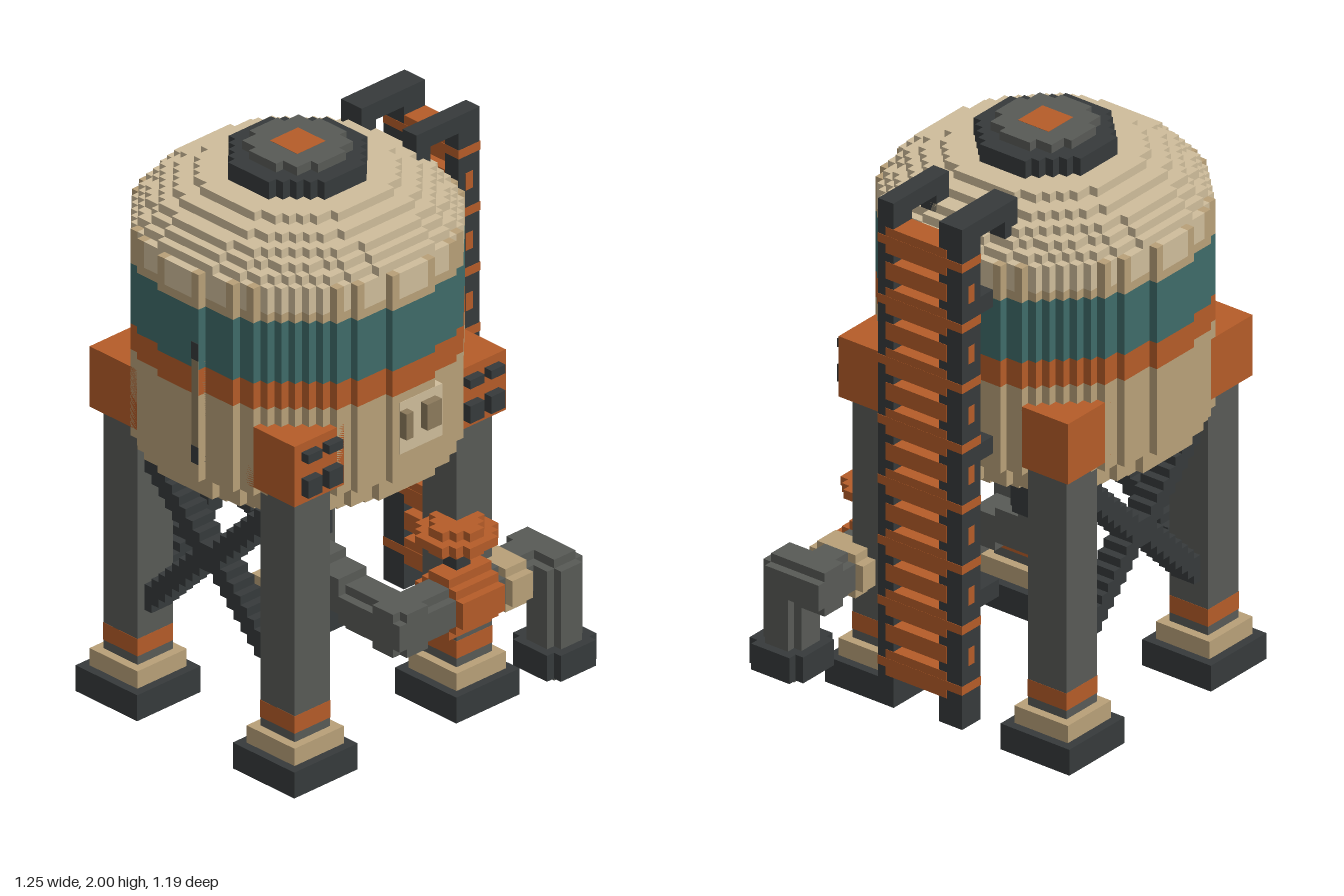
import * as THREE from 'three';

// All sizes are in voxels; the finished group is scaled so 32 voxels = 1 unit.
const VOXEL = 1 / 32;
const mat = (color) => new THREE.MeshStandardMaterial({ color, flatShading: true });
const M = {
  tan: mat(0xb8a078), light: mat(0xcfbd9b), brown: mat(0x8c7a5c), teal: mat(0x3f6b69),
  orange: mat(0xb55c28), dark: mat(0x363a3b), grey: mat(0x585a56),
};
const CX = -3, CZ = -2; // tank axis

// Box given by its min and max on each axis
function box(parent, name, m, x0, x1, y0, y1, z0, z1) {
  const mesh = new THREE.Mesh(new THREE.BoxGeometry(x1 - x0, y1 - y0, z1 - z0), m);
  mesh.position.set((x0 + x1) / 2, (y0 + y1) / 2, (z0 + z1) / 2);
  mesh.name = name;
  parent.add(mesh);
  return mesh;
}

// Half width of one row of a voxel circle, d cells across and of radius r
function halfWidth(d, r, c) {
  let w = 0;
  for (let k = (d - 1) / 2; k >= 0; k--) if (k * k + c * c <= r * r) { w = k + 0.5; break; }
  return w;
}

// Stair-stepped disc, extruded along an axis from a to b; (p, q) is its centre:
// axis y -> (x, z), axis x -> (y, z), axis z -> (x, y)
function disc(parent, name, m, d, r, axis, a, b, p, q) {
  const side = [];
  for (let i = 0; i < d; i++) {
    const w = halfWidth(d, r, i - (d - 1) / 2);
    if (!w) continue;
    const last = side[side.length - 1];
    if (last && last.x === w) last.y = i + 1 - d / 2;
    else side.push(new THREE.Vector2(w, i - d / 2), new THREE.Vector2(w, i + 1 - d / 2));
  }
  const mirrored = side.map((v) => new THREE.Vector2(-v.x, v.y)).reverse();
  const geo = new THREE.ExtrudeGeometry(new THREE.Shape([...side, ...mirrored]), { depth: b - a, bevelEnabled: false });
  const mesh = new THREE.Mesh(geo, m);
  if (axis === 'y') { geo.rotateX(-Math.PI / 2); mesh.position.set(p, a, q); }
  else if (axis === 'x') { geo.rotateY(Math.PI / 2); mesh.position.set(a, p, q); }
  else mesh.position.set(p, q, a);
  mesh.name = name;
  parent.add(mesh);
  return mesh;
}

function part(root, name) {
  const g = new THREE.Group();
  g.name = name;
  root.add(g);
  return g;
}

function buildTank(root) {
  const g = part(root, 'tank');
  // name, material, diameter, radius, bottom, top
  const layers = [
    ['outletCollar', M.brown, 6, 3, 25, 26], ['outletCollar', M.brown, 10, 5, 26, 27],
    ['bottom', M.tan, 20, 10.2, 27, 28], ['bottom', M.tan, 24, 12.3, 28, 29],
    ['bottom', M.tan, 28, 14.2, 29, 30], ['bottom', M.tan, 32, 16, 30, 32],
    ['wall', M.tan, 34, 16.85, 32, 42], ['orangeBand', M.orange, 34, 16.85, 42, 45],
    ['tealBand', M.teal, 34, 16.85, 45, 52], ['upperWall', M.tan, 34, 16.85, 52, 53],
    ['dome', M.light, 34, 16.6, 53, 56], ['dome', M.light, 32, 16.1, 56, 57],
    ['dome', M.light, 30, 15.1, 57, 58], ['dome', M.light, 28, 14.1, 58, 59],
    ['dome', M.light, 24, 12.36, 59, 60], ['dome', M.light, 20, 10.2, 60, 61],
    ['hatchRing', M.dark, 14, 7, 61, 63], ['hatchLid', M.grey, 10, 5, 63, 64],
  ];
  for (const [name, m, d, r, y0, y1] of layers) disc(g, name, m, d, r, 'y', y0, y1, CX, CZ);
  box(g, 'hatchMark', M.orange, -5, -1, 63.5, 64.03, -4, 0);

  // darker wall slivers standing around the dome's lowest course
  for (let i = 0; i < 34; i++) {
    const c = i - 16.5, outer = halfWidth(34, 16.85, c), inner = halfWidth(34, 16.6, c);
    if (outer === inner) continue;
    for (const s of [-1, 1]) {
      const a = CX + s * inner, b = CX + s * outer;
      box(g, 'wallSliver', M.tan, Math.min(a, b), Math.max(a, b), 53, 56, CZ + c - 0.5, CZ + c + 0.5);
    }
  }

  // front control panel with two windows, and a level gauge on the side
  box(g, 'frontPanel', M.light, -5, 1, 35, 41, 12, 15.04);
  box(g, 'panelWindow', M.brown, -5, -4, 37, 40, 15, 16);
  box(g, 'panelWindow', M.brown, -2, 0, 37, 40, 15, 16);
  box(g, 'levelGauge', M.brown, -20.04, -19, 36, 46, 0, 1);
  for (const y of [34, 46]) box(g, 'gaugeEnd', M.dark, -20.06, -19, y, y + 2, 0, 1);
}

function buildLegs(root) {
  for (const sx of [-1, 1]) for (const sz of [-1, 1]) {
    const g = part(root, (sz > 0 ? 'front' : 'back') + (sx > 0 ? 'Left' : 'Right') + 'Leg');
    const x = CX + sx * 11.5, z = CZ + sz * 11.5;
    const block = (name, m, w, y0, y1) => box(g, name, m, x - w / 2, x + w / 2, y0, y1, z - w / 2, z + w / 2);
    block('foot', M.dark, 9, 0, 3);
    block('basePlate', M.tan, 7, 3, 5);
    block('post', M.grey, 5, 5, 33);
    block('postBand', M.orange, 5.06, 6, 8);
    block('bracket', M.orange, 7, 33, 40);
    // bolts on the front brackets
    if (sz > 0) for (const dx of [-2.5, 0.5]) {
      box(g, 'bolt', M.dark, x + dx, x + dx + 2, 34, 36, z + 3.5, z + 4.5);
      box(g, 'bolt', M.dark, x + dx, x + dx + 2, 38, 39, z + 3.5, z + 4.5);
    }
  }
}

// Stepped cross braces between the legs, on the back and on the -x side
function buildBraces(root) {
  const back = part(root, 'backBrace'), side = part(root, 'sideBrace');
  for (let k = 0; k < 18; k++) {
    const y = Math.round(11 + (k * 16) / 17);
    for (const i of [k, 17 - k]) {
      box(back, 'braceStep', M.dark, -12 + i, -11 + i, y, y + 3, -15, -12);
      box(side, 'braceStep', M.dark, -16, -13, y, y + 3, -11 + i, -10 + i);
    }
  }
}

function buildPiping(root) {
  const g = part(root, 'outletPiping');
  // spout under the tank, stepping down towards the front
  disc(g, 'spout', M.dark, 6, 3, 'y', 19, 25, CX, CZ);
  disc(g, 'spoutPipe', M.grey, 4, 2.2, 'y', 14, 19, CX, CZ);
  box(g, 'pipeStep', M.grey, -5, -1, 14, 18, 0, 3);
  box(g, 'pipeStep', M.grey, -5, -1, 13, 17, 3, 6);
  disc(g, 'pipeStep', M.grey, 5, 2.3, 'z', 6, 15, -2.5, 13.5);
  // run along the front, elbow and downpipe
  disc(g, 'frontPipe', M.grey, 5, 2.3, 'x', -5, 18, 13.5, 12.5);
  disc(g, 'elbow', M.grey, 5, 2.3, 'z', 10, 17, 16.5, 13.5);
  disc(g, 'downPipe', M.grey, 5, 2.3, 'y', 6, 15, 16.5, 15.5);
  disc(g, 'endFlange', M.dark, 7, 3.7, 'y', 3, 6, 16.5, 15.5);
  disc(g, 'pipeMouth', M.grey, 3, 1.5, 'y', 2, 3, 16.5, 15.5);
  // valve, flange and hand wheel
  disc(g, 'valveBody', M.orange, 7, 3.3, 'x', 3, 9, 13.5, 12.5);
  box(g, 'pipeFlange', M.tan, 10, 13, 11, 16, 10, 15);
  box(g, 'pipeFlange', M.tan, 10.02, 12.98, 12, 15, 9, 16);
  box(g, 'valveStem', M.dark, 5, 7, 16, 19, 11, 13);
  disc(g, 'handWheel', M.orange, 8, 3.9, 'y', 20, 21, 6, 12);
  for (const y of [19, 21]) disc(g, 'handWheelRim', M.orange, 6, 2.7, 'y', y, y + 1, 6, 12);
}

function buildLadder(root) {
  const g = part(root, 'ladder');
  for (const [z0, z1] of [[-8, -5], [1, 3]]) {
    box(g, 'rail', M.dark, 15, 18, 4, 62, z0, z1);
    box(g, 'topHook', M.dark, 9, 15, 60, 62, z0, z1);
    box(g, 'hookEnd', M.dark, 9, 11, 58, 60, z0, z1);
    for (const y of [17, 34, 51]) box(g, 'wallStub', M.dark, 12, 15, y, y + 2, z0, z1);
  }
  // broad rungs clasp the rails, narrow rungs pass through them
  for (let k = 0; k < 8; k++) {
    const y = 57 - 7 * k;
    box(g, 'rungClasp', M.orange, 14.96, 18.06, y, y + 1, -8.04, 3.04);
    box(g, 'rung', M.orange, 15.02, 18.04, y - 1, y + 2, -6, 2);
    if (k === 7) continue;
    box(g, 'rungPin', M.orange, 16, 17, y - 4, y - 2, -8.04, 3.04);
    box(g, 'rung', M.orange, 15.02, 18.04, y - 4, y - 2, -6, 2);
  }
}

export function createModel() {
  const root = new THREE.Group();
  root.name = 'storageTank';
  buildTank(root);
  buildLegs(root);
  buildBraces(root);
  buildPiping(root);
  buildLadder(root);
  root.scale.setScalar(VOXEL);
  return root;
}
